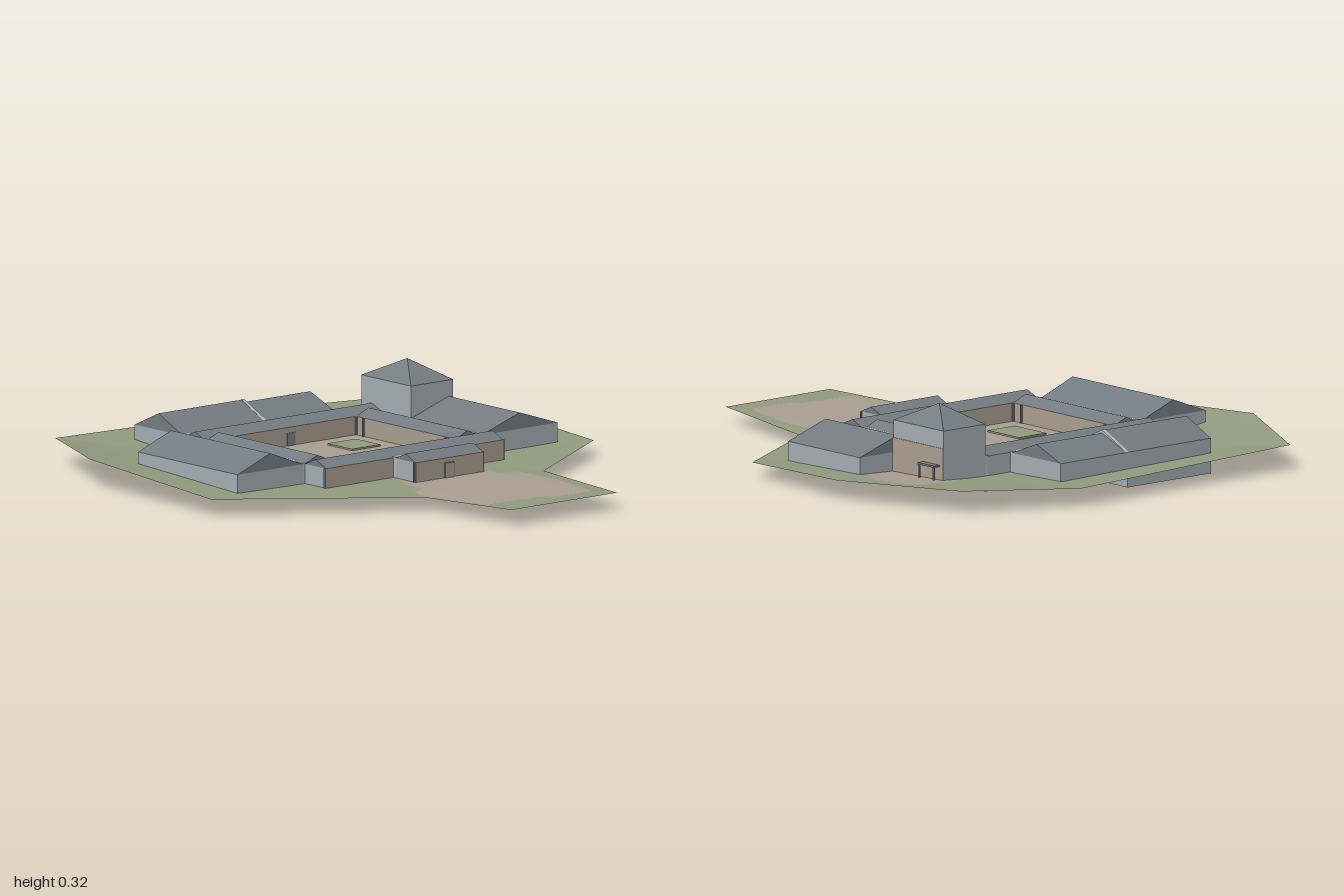
import * as THREE from 'three';

const flat = (name, color, side = THREE.FrontSide) => {
  const m = new THREE.MeshStandardMaterial({ color, side, flatShading: true });
  m.name = name;
  return m;
};

export function createModel() {
  const root = new THREE.Group();
  root.name = 'courtyardCompound';
  const slate = flat('slate', 0x737c82);
  const wall = flat('paleWall', 0xa4aeb4);
  const flashing = flat('paleFlashing', 0xb0bac0);
  const earth = flat('earthWall', 0xaa9f90);
  const grass = flat('grass', 0x929c7f, THREE.DoubleSide);
  const sand = flat('sand', 0xaa9f91, THREE.DoubleSide);

  const add = (name, geo, mat, parent = root) => {
    const m = new THREE.Mesh(geo, mat);
    m.name = name;
    parent.add(m);
    return m;
  };
  const box = (name, x0, x1, y0, y1, z0, z1, mat, parent) => {
    const g = new THREE.BoxGeometry(x1 - x0, y1 - y0, z1 - z0);
    g.translate((x0 + x1) / 2, (y0 + y1) / 2, (z0 + z1) / 2);
    return add(name, g, mat, parent);
  };

  // Gabled roof: triangular prism with its ridge along x or z
  const roof = (name, x0, x1, z0, z1, eave, ridge, axis, mat, parent) => {
    const alongX = axis === 'x';
    const w = (alongX ? z1 - z0 : x1 - x0) / 2;
    const len = alongX ? x1 - x0 : z1 - z0;
    const s = new THREE.Shape([
      new THREE.Vector2(-w, 0), new THREE.Vector2(w, 0), new THREE.Vector2(0, ridge - eave)]);
    const g = new THREE.ExtrudeGeometry(s, { depth: len, bevelEnabled: false });
    g.translate(0, 0, -len / 2);
    if (alongX) g.rotateY(Math.PI / 2);
    g.translate((x0 + x1) / 2, eave, (z0 + z1) / 2);
    return add(name, g, mat, parent);
  };

  // Pale walls with earth-coloured faces where listed, gabled roof
  const faces = ['px', 'nx', 'py', 'ny', 'pz', 'nz'];
  const skin = (earthSides) => faces.map((f) => (earthSides.includes(f) ? earth : wall));
  const FLOOR = 0.046, EAVE = 0.13;
  const house = (name, x0, x1, z0, z1, ridge, axis, earthSides = []) => {
    const g = new THREE.Group();
    g.name = name;
    box('walls', x0, x1, FLOOR, EAVE, z0, z1, skin(earthSides), g);
    roof('roof', x0, x1, z0, z1, EAVE, ridge, axis, slate, g);
    root.add(g);
  };

  // Four galleries around the court
  house('northGallery', -0.44, 0.40, -0.56, -0.44, 0.155, 'x', ['pz']);
  house('southGallery', -0.44, 0.40, 0.12, 0.24, 0.155, 'x', ['pz', 'nz']);
  house('westGallery', -0.44, -0.32, -0.44, 0.12, 0.155, 'z', ['px']);
  house('eastGallery', 0.275, 0.39, -0.44, 0.12, 0.155, 'z', ['nx']);

  // Outer halls and gatehouse
  house('westHall', -0.76, -0.45, -0.44, 0.12, 0.19, 'z');
  house('eastHall', 0.40, 0.76, -0.28, 0.12, 0.19, 'z');
  house('northHallWest', -0.44, -0.04, -0.84, -0.57, 0.192, 'x');
  house('northHallEast', -0.04, 0.28, -0.84, -0.57, 0.182, 'x');
  house('gatehouse', -0.12, 0.20, 0.25, 0.365, 0.155, 'x', ['pz']);

  // Lower storey below the northern range
  box('lowerGallery', -0.44, 0.40, 0, FLOOR, -0.56, -0.44, skin(['nz']));
  box('lowerHall', -0.44, -0.04, 0, FLOOR, -0.84, -0.56, skin([]));

  // Pale gutters between neighbouring roofs, and the party wall on the north hall
  box('westGutter', -0.452, -0.438, FLOOR, 0.134, -0.44, 0.12, flashing);
  box('eastGutter', 0.388, 0.402, FLOOR, 0.134, -0.56, 0.12, flashing);
  box('northGutter', -0.44, 0.28, FLOOR, 0.134, -0.572, -0.558, flashing);
  box('gateGutter', -0.12, 0.20, FLOOR, 0.134, 0.235, 0.252, flashing);
  roof('partyWall', -0.048, -0.034, -0.84, -0.57, EAVE, 0.194, 'x', flashing);

  // Tower with pyramid roof
  const tower = new THREE.Group();
  tower.name = 'tower';
  root.add(tower);
  box('towerWalls', 0.40, 0.60, FLOOR, 0.25, -0.56, -0.28, wall, tower);
  box('towerEarthPanel', 0.60, 0.603, FLOOR, 0.185, -0.56, -0.28, earth, tower);
  const cap = new THREE.ConeGeometry(Math.SQRT1_2, 0.07, 4);
  cap.rotateY(Math.PI / 4).scale(0.2, 1, 0.28).translate(0.5, 0.285, -0.42);
  add('towerRoof', cap, slate, tower);

  // Side porch on the tower
  box('porchCanopy', 0.60, 0.63, 0.115, 0.122, -0.54, -0.45, slate, tower);
  for (const z of [-0.535, -0.455]) {
    box('porchPost', 0.622, 0.628, 0.055, 0.115, z - 0.003, z + 0.003, slate, tower);
  }

  // Gate in the front and door from the court to the north gallery
  box('gateFrame', 0.016, 0.064, 0.05, 0.114, 0.364, 0.368, slate);
  box('gate', 0.02, 0.06, 0.05, 0.11, 0.366, 0.370, earth);
  box('courtDoor', -0.055, -0.015, 0.05, 0.11, -0.441, -0.437, slate);

  // Slim posts at the court corners and the gatehouse ends
  const posts = [[-0.123, 0.36], [0.203, 0.36], [-0.443, 0.236], [0.403, 0.236]];
  for (const x of [-0.315, 0.27]) for (const z of [-0.435, -0.395, 0.07, 0.115]) posts.push([x, z]);
  for (const [x, z] of posts) {
    box('post', x - 0.003, x + 0.003, 0.05, EAVE, z - 0.003, z + 0.003, slate);
  }

  // Court paving and four planted beds
  box('courtPaving', -0.32, 0.275, 0.05, 0.062, -0.44, 0.12, sand);
  for (const [x0, x1] of [[-0.25, -0.12], [0.07, 0.205]]) {
    for (const [z0, z1] of [[-0.36, -0.22], [-0.145, 0.03]]) {
      box('plantedBed', x0, x1, 0.049, 0.068, z0, z1, grass);
    }
  }

  // Ground: rings from the middle to the outline [x, height, z]
  const outline = [
    [-0.70, 0.092, -0.98], [0.32, 0.068, -1.0], [0.74, 0.085, -0.82], [0.92, 0.076, -0.34],
    [0.88, 0.058, 0.18], [0.40, 0.05, 0.47], [0.30, 0.062, 1.0], [-0.20, 0.062, 1.0],
    [-0.26, 0.052, 0.58], [-0.92, 0.065, 0.16], [-0.92, 0.11, -0.52]];
  const rim = [];
  const SUB = 20, RINGS = 44, cz = -0.1;
  outline.forEach((a, i) => {
    const b = outline[(i + 1) % outline.length];
    for (let k = 0; k < SUB; k++) rim.push(a.map((v, j) => v + (b[j] - v) * k / SUB));
  });
  const pos = [];
  for (let r = 0; r <= RINGS; r++) {
    const t = r / RINGS, blend = Math.max(0, (t - 0.6) / 0.4);
    for (const [x, h, z] of rim) pos.push(x * t, 0.057 + (h - 0.057) * blend, cz + (z - cz) * t);
  }

  // Sandy forecourt and side yard, each a polygon of [x, z]
  const yards = [
    [[-0.12, 0.25], [0.20, 0.25], [0.23, 0.42], [0.31, 0.44], [0.31, 0.62], [0.27, 0.85], [0.24, 0.91],
      [0.06, 0.91], [0.04, 0.87], [-0.2, 0.86], [-0.24, 0.6], [-0.24, 0.5], [-0.17, 0.46], [-0.16, 0.34]],
    [[0.55, -0.6], [0.74, -0.6], [0.8, -0.52], [0.79, -0.38], [0.73, -0.28], [0.55, -0.28]]];
  const inside = (poly, x, z) => poly.reduce((hit, [ax, az], i) => {
    const [bx, bz] = poly[(i + 1) % poly.length];
    const crosses = (az > z) !== (bz > z) && x < ax + (bx - ax) * (z - az) / (bz - az);
    return crosses ? !hit : hit;
  }, false);

  const lists = { grass: [], sand: [] };
  const n = rim.length;
  for (let r = 0; r < RINGS; r++) {
    for (let i = 0; i < n; i++) {
      const a = r * n + i, b = r * n + (i + 1) % n, c = a + n, d = b + n;
      for (const tri of [[a, d, c], [a, b, d]]) {
        if (r === 0 && tri[1] === b) continue;
        const x = tri.reduce((s, v) => s + pos[v * 3], 0) / 3;
        const z = tri.reduce((s, v) => s + pos[v * 3 + 2], 0) / 3;
        lists[yards.some((p) => inside(p, x, z)) ? 'sand' : 'grass'].push(...tri);
      }
    }
  }
  for (const [kind, mat] of [['grass', grass], ['sand', sand]]) {
    const g = new THREE.BufferGeometry();
    g.setAttribute('position', new THREE.Float32BufferAttribute(pos, 3));
    g.setIndex(lists[kind]);
    g.computeVertexNormals();
    add(kind + 'Ground', g, mat);
  }
  return root;
}
